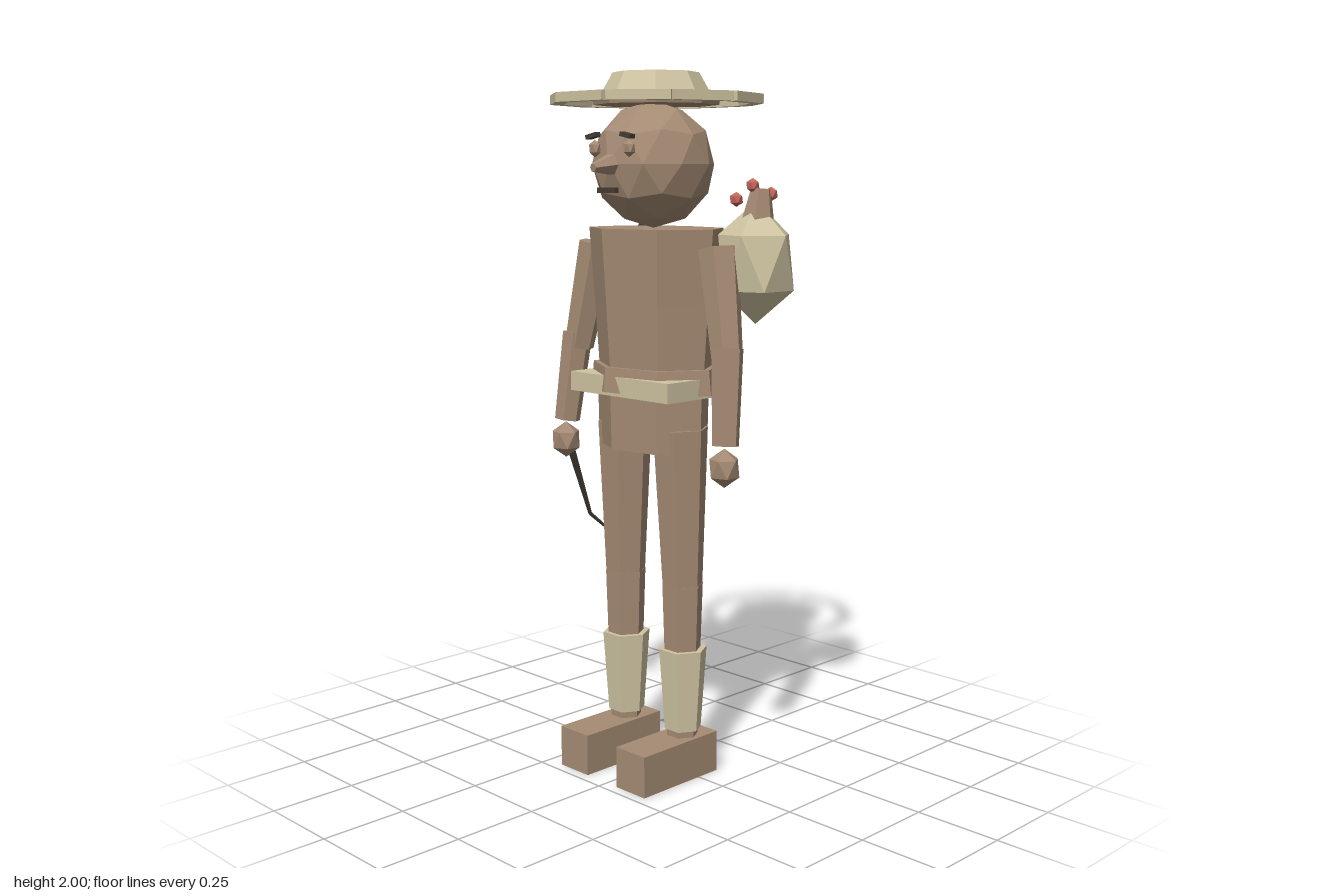
import * as THREE from 'three';

const mat = (name, color) => {
  const m = new THREE.MeshStandardMaterial({ color, flatShading: true });
  m.name = name;
  return m;
};

export function createModel() {
  const brown = mat('brown', 0xa58b74);
  const cream = mat('cream', 0xcfc4a2);
  const red = mat('red', 0xc4655a);
  const dark = mat('dark wood', 0x443c34);

  const model = new THREE.Group();
  model.name = 'traveller';
  const body = new THREE.Group(); // symmetric parts, shifted to the body axis
  body.name = 'body';
  body.position.x = -0.02;
  model.add(body);

  const add = (parent, name, geo, material, x = 0, y = 0, z = 0) => {
    const m = new THREE.Mesh(geo, material);
    m.name = name;
    m.position.set(x, y, z);
    parent.add(m);
    return m;
  };
  // Prism between two heights with one corner on +x
  const prism = (name, rTop, rBottom, y0, y1, sides, material, x = 0, z = 0, zScale = 1) => {
    const g = new THREE.CylinderGeometry(rTop, rBottom, y1 - y0, sides, 1, false, Math.PI / 2);
    g.scale(1, 1, zScale);
    return add(body, name, g, material, x, (y0 + y1) / 2, z);
  };
  // Tapered limb between two points
  const limb = (parent, name, a, b, ra, rb, sides, material) => {
    const A = new THREE.Vector3(...a), B = new THREE.Vector3(...b);
    const d = B.clone().sub(A);
    const g = new THREE.CylinderGeometry(rb, ra, d.length(), sides, 1, false, Math.PI / 2);
    const m = add(parent, name, g, material, ...A.clone().add(B).multiplyScalar(0.5).toArray());
    m.quaternion.setFromUnitVectors(new THREE.Vector3(0, 1, 0), d.normalize());
    return m;
  };
  // Faceted ball with one corner pointing up
  const ball = (rx, ry, rz, detail = 0) => {
    const g = new THREE.IcosahedronGeometry(1, detail);
    g.rotateZ(-Math.atan(2 / (1 + Math.sqrt(5))));
    return g.scale(rx, ry, rz);
  };

  // Head and face
  add(body, 'head', ball(0.172, 0.175, 0.172, 1), brown, 0, 1.75, 0.01);
  for (const s of [-1, 1]) {
    add(body, 'eye', ball(0.02, 0.024, 0.016), brown, s * 0.068, 1.792, 0.168);
    const brow = add(body, 'eyebrow', new THREE.BoxGeometry(0.04, 0.012, 0.02), dark, s * 0.068, 1.826, 0.175);
    brow.rotation.z = -s * 0.2;
  }
  limb(body, 'nose', [0, 1.75, 0.16], [0, 1.74, 0.237], 0.034, 0.012, 6, brown);
  add(body, 'mouth', new THREE.BoxGeometry(0.07, 0.014, 0.014), dark, 0, 1.68, 0.184);

  // Hat with an open hoop for a brim
  prism('hatBand', 0.18, 0.175, 1.912, 1.943, 8, brown);
  prism('hatCrown', 0.12, 0.152, 1.943, 2.0, 8, cream);
  for (let i = 0; i < 10; i++) {
    const a = (i / 10) * Math.PI * 2;
    const seg = add(body, 'hatBrim', new THREE.BoxGeometry(0.172, 0.026, 0.036), cream,
      Math.sin(a) * 0.268, 1.927, Math.cos(a) * 0.268);
    seg.rotation.y = a;
  }

  // Torso, belt and hips
  prism('chest', 0.22, 0.203, 1.37, 1.575, 7, brown, 0, 0, 0.76);
  prism('waist', 0.203, 0.187, 1.16, 1.37, 7, brown, 0, 0, 0.76);
  prism('jacketHem', 0.208, 0.216, 1.12, 1.19, 7, brown, 0, 0, 0.76);
  add(body, 'belt', new THREE.BoxGeometry(0.392, 0.055, 0.28), cream, 0, 1.138, 0.01);
  prism('hips', 0.19, 0.185, 0.955, 1.13, 7, brown, 0, 0.01, 0.7);

  // Legs, boots, arms and hands
  for (const s of [-1, 1]) {
    limb(body, 'thigh', [s * 0.118, 0.55, 0.01], [s * 0.113, 1.02, 0.015], 0.058, 0.08, 6, brown);
    prism('shin', 0.06, 0.045, 0.11, 0.57, 6, brown, s * 0.118, 0.01);
    prism('bootCuff', 0.071, 0.054, 0.14, 0.38, 6, cream, s * 0.118, 0.008);
    add(body, 'shoe', new THREE.BoxGeometry(0.114, 0.12, 0.295), brown, s * 0.118, 0.06, 0.072);

    limb(body, 'upperArm', [s * 0.3, 1.22, 0.025], [s * 0.24, 1.525, 0], 0.044, 0.057, 6, brown);
    limb(body, 'forearm', [s * 0.322, 1.0, 0.055], [s * 0.302, 1.26, 0.028], 0.038, 0.045, 6, brown);
    add(body, 'hand', ball(0.046, 0.054, 0.046), brown, s * 0.323, 0.94, 0.06);
  }

  // Curved switch held in the right hand
  const bend = [-0.365, 0.69, -0.055];
  limb(model, 'switchHandle', [-0.343, 0.91, 0.04], bend, 0.012, 0.006, 5, dark);
  limb(model, 'switchTip', bend, [-0.34, 0.59, -0.165], 0.006, 0.003, 5, dark);

  // Carrying stick with the sack at its end
  limb(model, 'carryingStick', [-0.19, 1.58, -0.11], [0.21, 1.445, -0.155], 0.018, 0.014, 6, dark);
  add(model, 'sack', ball(0.118, 0.168, 0.115), cream, 0.267, 1.485, -0.1);
  limb(model, 'sackNeck', [0.272, 1.59, -0.1], [0.278, 1.685, -0.105], 0.048, 0.028, 6, brown);
  for (const [x, y, z] of [[0.29, 1.67, -0.133], [0.268, 1.693, -0.083], [0.243, 1.656, -0.045]])
    add(model, 'berry', ball(0.02, 0.02, 0.02), red, x, y, z);

  return model;
}
